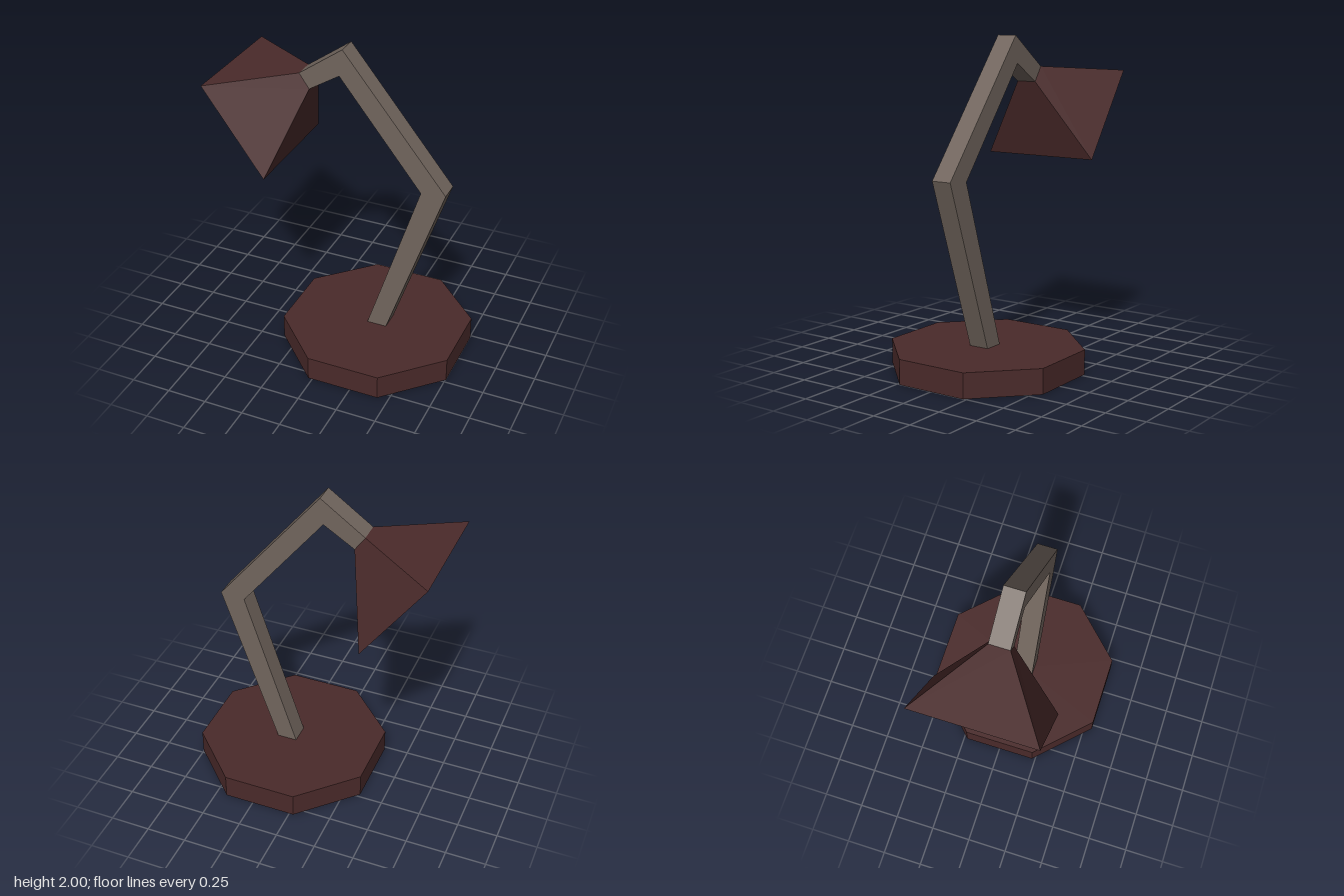
import * as THREE from 'three';

const flat = (color, name, side = THREE.FrontSide) => {
  const m = new THREE.MeshStandardMaterial({ color, flatShading: true, side });
  m.name = name;
  return m;
};

// Closed polygon from [x, y] corners
const polygon = (pts) => new THREE.Shape(pts.map(([x, y]) => new THREE.Vector2(x, y)));

// Rectangular section spanning z = -half..half between an upper and a lower edge
const section = ([ux, uy], [lx, ly], half) =>
  [[ux, uy, -half], [ux, uy, half], [lx, ly, half], [lx, ly, -half]];

// Four-sided funnel, closed at the neck and open at the mouth
function funnel(neck, mouth) {
  const index = [0, 1, 2, 0, 2, 3];
  for (let i = 0; i < 4; i++) {
    const j = (i + 1) % 4;
    index.push(i, i + 4, j, j, i + 4, j + 4);
  }
  const g = new THREE.BufferGeometry();
  g.setAttribute('position', new THREE.Float32BufferAttribute([...neck, ...mouth].flat(), 3));
  g.setIndex(index);
  const out = g.toNonIndexed();
  out.computeVertexNormals();
  return out;
}

export function createModel() {
  const red = flat(0x4a2a2a, 'darkRed', THREE.DoubleSide);
  const metal = flat(0x71655d, 'warmGrey');
  const black = flat(0x0a0a0a, 'black');
  const grey = flat(0x3a3b3b, 'bulbGrey');

  const model = new THREE.Group();
  model.name = 'deskLamp';
  const add = (parent, name, geometry, material) => {
    const mesh = new THREE.Mesh(geometry, material);
    mesh.name = name;
    parent.add(mesh);
    return mesh;
  };

  // Octagonal base: a thin shell, open underneath
  const baseX = 0.2025, baseHeight = 0.153;
  const radius = 0.552 / Math.cos(Math.PI / 8);
  const wall = add(model, 'baseWall',
    new THREE.CylinderGeometry(radius, radius, baseHeight, 8, 1, true), red);
  wall.geometry.rotateY(Math.PI / 8);
  wall.position.set(baseX, baseHeight / 2, 0);
  const top = add(model, 'baseTop', new THREE.CircleGeometry(radius, 8), red);
  top.geometry.rotateZ(Math.PI / 8).rotateX(-Math.PI / 2);
  top.position.set(baseX, baseHeight, 0);

  // Bent arm: one mitred profile given its thickness along z
  const halfArm = 0.064;
  const armShape = polygon([
    [0.16, baseHeight], [0.286, baseHeight], [0.641, 1.195], [-0.01, 2],
    [-0.283, 1.805], [-0.22, 1.714], [-0.03, 1.833], [0.488, 1.18],
  ]);
  const arm = add(model, 'arm',
    new THREE.ExtrudeGeometry(armShape, { depth: 2 * halfArm, bevelEnabled: false }), metal);
  arm.position.z = -halfArm;

  // Shade: thin-walled and open at the mouth
  const neckUpper = [-0.283, 1.805], neckLower = [-0.22, 1.714];
  const upper = [-0.755, 1.77], lower = [-0.373, 1.24], halfMouth = 0.38;
  add(model, 'shade', funnel(
    section(neckUpper, neckLower, halfArm),
    section(upper, lower, halfMouth)), red);

  // Lining just inside the mouth: local z points out of the opening
  const inset = 0.05;
  const inward = (a, b) => a + (b - a) * inset;
  const [ux, uy] = upper.map((v, i) => inward(v, neckUpper[i]));
  const [lx, ly] = lower.map((v, i) => inward(v, neckLower[i]));
  const mouth = new THREE.Group();
  mouth.name = 'shadeMouth';
  mouth.position.set((ux + lx) / 2, (uy + ly) / 2, 0);
  mouth.lookAt(mouth.position.x + ly - uy, mouth.position.y + ux - lx, 0);
  model.add(mouth);
  add(mouth, 'shadeLining', new THREE.PlaneGeometry(
    2 * inward(halfMouth, halfArm), Math.hypot(ux - lx, uy - ly)), black);

  // Bulb face
  const bulb = add(mouth, 'bulb', new THREE.CircleGeometry(0.17, 8), grey);
  bulb.geometry.rotateZ(Math.PI / 8);
  bulb.position.z = 0.005;

  return model;
}
